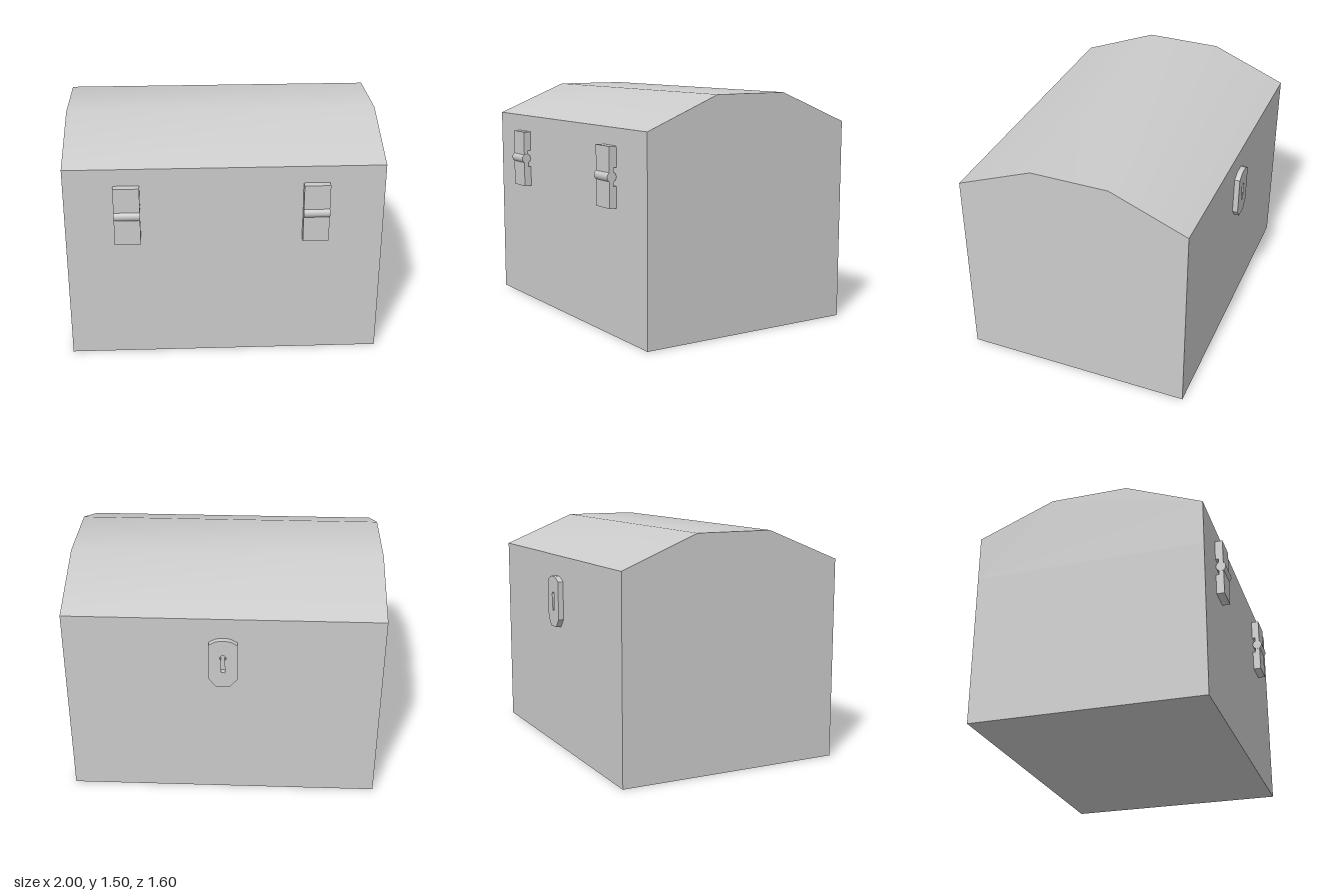
import * as THREE from 'three';
import { toCreasedNormals } from 'three/addons/utils/BufferGeometryUtils.js';

const FRONT = 0.735, BACK = -0.765, SEAM = 1.0;
const grey = new THREE.MeshStandardMaterial({ color: 0xcccccc });

function shapeOf(points) {
  return new THREE.Shape(points.map(([x, y]) => new THREE.Vector2(x, y)));
}

function part(name, geometry, parent) {
  const mesh = new THREE.Mesh(geometry, grey);
  mesh.name = name;
  parent.add(mesh);
  return mesh;
}

// Extrudes a (z, y) profile along x, centred on x = 0
function extrudeAlongX(points, width) {
  const geo = new THREE.ExtrudeGeometry(shapeOf(points), { depth: width, bevelEnabled: false });
  geo.translate(0, 0, -width / 2);
  geo.rotateY(-Math.PI / 2);
  return geo;
}

// Hinge: two leaves stepped away from the chest near the pin, and a round barrel
function makeHinge(x) {
  const hinge = new THREE.Group();
  hinge.name = 'hinge';
  const width = 0.163, outer = 0.785, inner = 0.755;
  for (const [name, s, y0] of [['upperHingeLeaf', 1, 0.06], ['lowerHingeLeaf', -1, 0.055]]) {
    const profile = [[FRONT, y0], [inner, y0], [inner, 0.01], [outer, 0.01], [outer, 0.19], [FRONT, 0.19]]
      .map(([z, y]) => [z, SEAM + s * y]);
    part(name, extrudeAlongX(profile, width), hinge);
  }
  const barrel = new THREE.CylinderGeometry(0.032, 0.032, width + 0.001, 24);
  barrel.rotateZ(Math.PI / 2);
  part('hingeBarrel', barrel, hinge).position.set(0, 1.003, 0.768);
  hinge.position.x = x;
  return hinge;
}

// Lock plate with a keyhole cut through it
function makeLockPlate() {
  const plate = shapeOf([
    [-0.045, 0.83], [0.045, 0.83], [0.09, 0.885], [0.09, 1.135],
    [0.05, 1.158], [0.02, 1.165], [-0.02, 1.165], [-0.05, 1.158], [-0.09, 1.135], [-0.09, 0.885],
  ]);
  const keyhole = new THREE.Path();
  keyhole.moveTo(-0.013, 0.935);
  keyhole.lineTo(0.013, 0.935);
  keyhole.lineTo(0.01, 1.025);
  keyhole.absarc(0, 1.04, 0.02, -0.9, Math.PI + 0.9, false);
  keyhole.lineTo(-0.013, 0.935);
  plate.holes.push(keyhole);
  const geo = new THREE.ExtrudeGeometry(plate, { depth: 0.035, bevelEnabled: false, curveSegments: 10 });
  geo.rotateY(Math.PI);
  geo.translate(0, 0, BACK);
  return toCreasedNormals(geo, 0.6);
}

export function createModel() {
  const chest = new THREE.Group();
  chest.name = 'chest';

  // Lower box
  const base = new THREE.BoxGeometry(2, SEAM, FRONT - BACK);
  part('base', base, chest).position.set(0, SEAM / 2, (FRONT + BACK) / 2);

  // Lid with a softly shaded three-facet top
  const lidProfile = [
    [BACK, SEAM], [FRONT, SEAM], [FRONT, 1.3], [0.237, 1.5], [-0.267, 1.5], [BACK, 1.3],
  ];
  part('lid', toCreasedNormals(extrudeAlongX(lidProfile, 2), 0.6), chest);

  // Fittings
  for (const x of [-0.61, 0.57]) chest.add(makeHinge(x));
  part('lockPlate', makeLockPlate(), chest);

  return chest;
}
